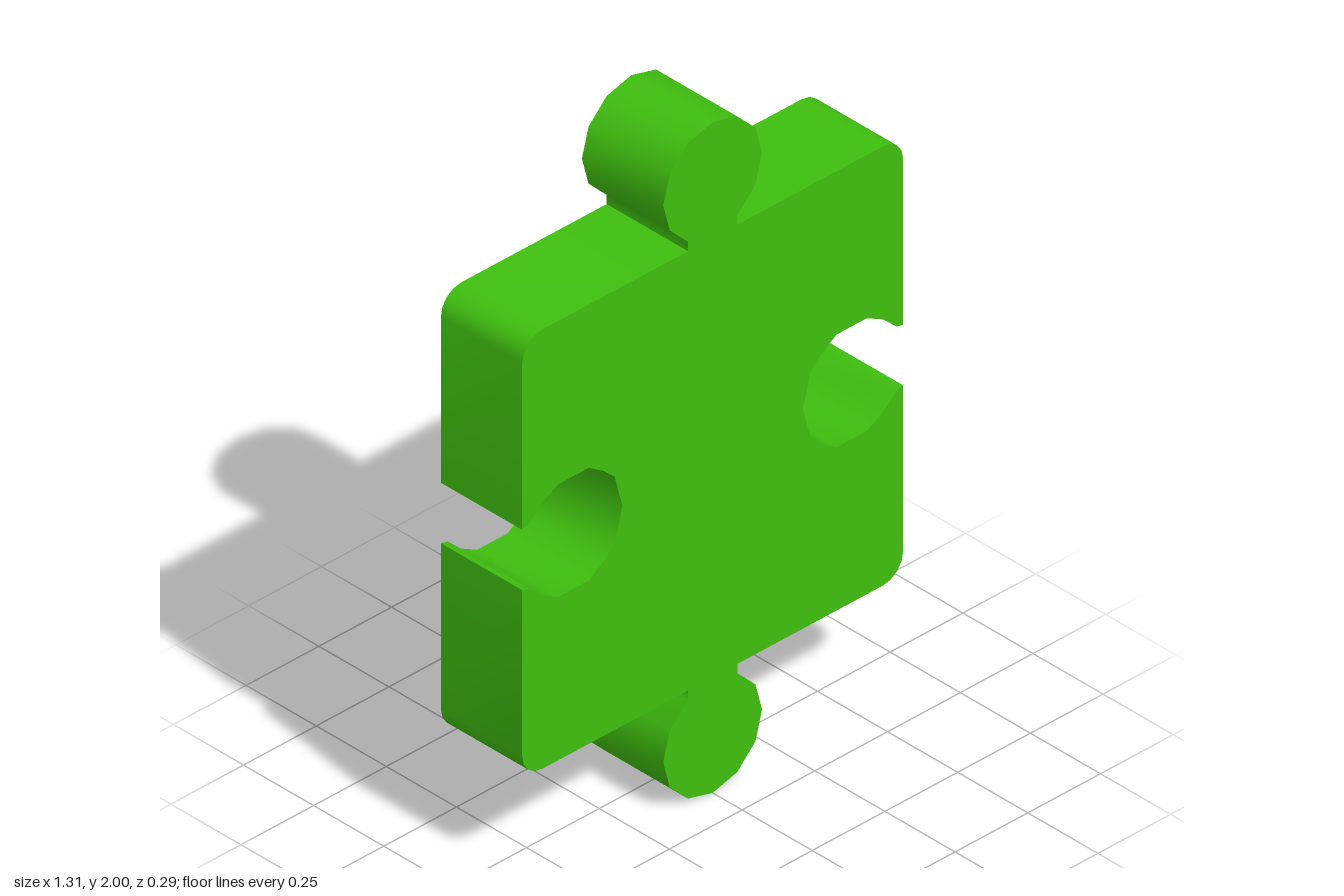
import * as THREE from 'three';
import { toCreasedNormals } from 'three/addons/utils/BufferGeometryUtils.js';

const HALF = 0.655, CORNER = 0.07, DEPTH = 0.29;

// One quarter of the outline, measured from the centre, running from side socket to knob tip
function quarterOutline() {
  const pts = [
    [0.31, 0], [0.337, 0.1], [0.375, 0.135], [0.426, 0.168], [0.53, 0.168],
    [0.585, 0.139], [0.632, 0.096], [HALF, 0.09],
  ];
  // rounded corner
  const c = HALF - CORNER;
  for (let i = 0; i <= 4; i++) {
    const a = (i / 4) * Math.PI / 2;
    pts.push([c + CORNER * Math.cos(a), c + CORNER * Math.sin(a)]);
  }
  // neck and half of the twelve-sided knob
  pts.push([0.085, HALF]);
  for (let i = -2; i <= 3; i++) {
    const a = i * Math.PI / 6;
    pts.push([0.17 * Math.cos(a), 0.83 + 0.17 * Math.sin(a)]);
  }
  return pts;
}

export function createModel() {
  const model = new THREE.Group();
  model.name = 'puzzlePiece';
  const green = new THREE.MeshStandardMaterial({ color: 0x3fbf0f });
  green.name = 'green';

  // Mirror the quarter to the upper half, then to the whole outline
  const q = quarterOutline();
  const upper = q.concat(q.slice(0, -1).reverse().map(([x, y]) => [-x, y]));
  const lower = upper.slice(1, -1).reverse().map(([x, y]) => [x, -y]);
  const outline = upper.concat(lower).map(([x, y]) => new THREE.Vector2(x, y + 1));

  const solid = new THREE.ExtrudeGeometry(new THREE.Shape(outline), { depth: DEPTH, bevelEnabled: false });
  solid.translate(0, 0, -DEPTH / 2);
  const piece = new THREE.Mesh(toCreasedNormals(solid, 0.8), green);
  piece.name = 'interlockingPiece';
  model.add(piece);
  return model;
}
